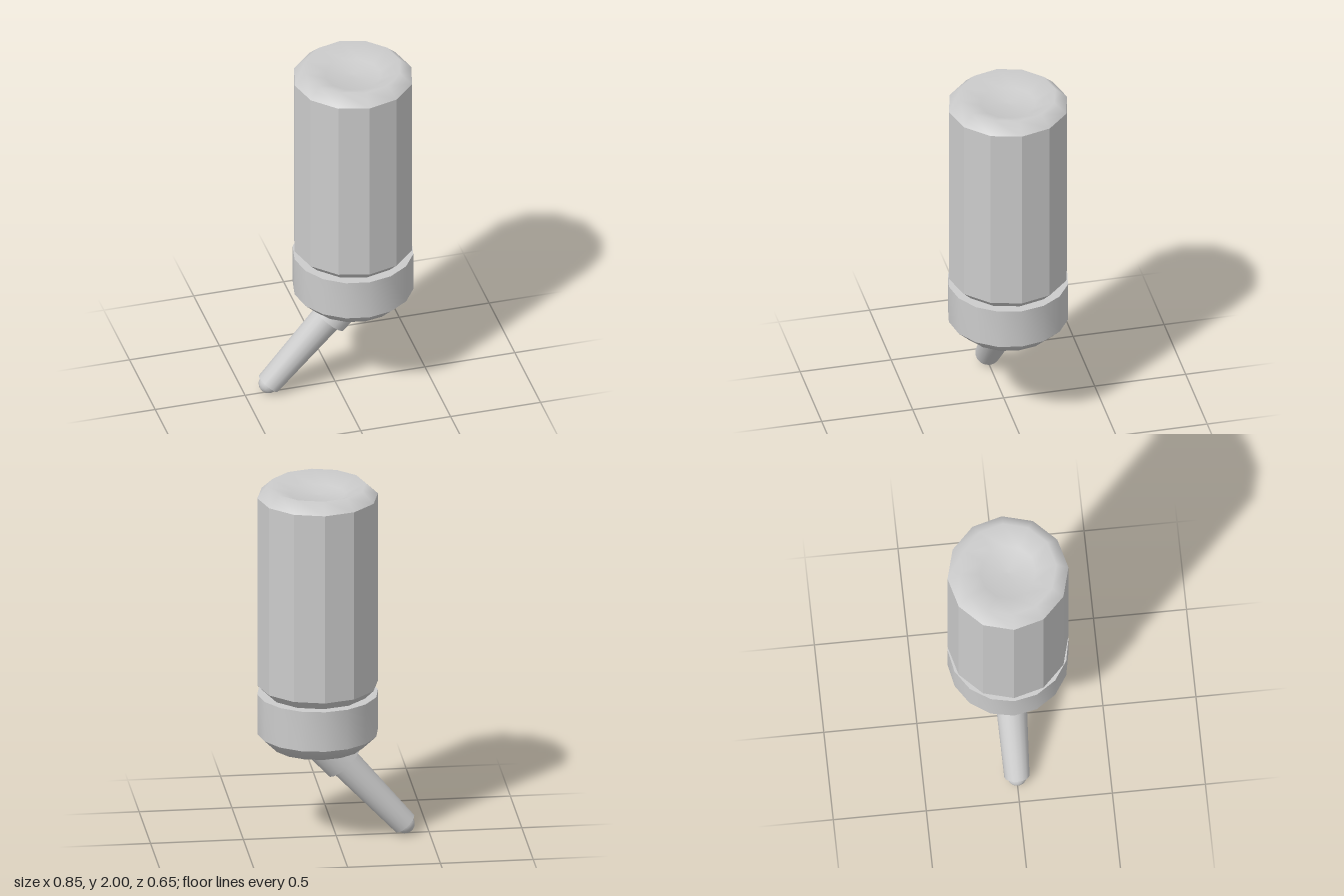
import * as THREE from 'three';
import { toCreasedNormals } from 'three/addons/utils/BufferGeometryUtils.js';

const smooth = new THREE.MeshStandardMaterial({ color: 0xcccccc });
const faceted = new THREE.MeshStandardMaterial({ color: 0xcccccc, flatShading: true });

const BODY_SIDES = 12;
const CAP_SIDES = 16;
const R = 0.325;

// Turned part from [radius, y] pairs, listed from bottom centre to top centre
function turned(name, points, sides, material = smooth, crease = 0) {
  let geometry = new THREE.LatheGeometry(points.map(([r, y]) => new THREE.Vector2(r, y)), sides);
  if (crease) geometry = toCreasedNormals(geometry, crease);
  const mesh = new THREE.Mesh(geometry, material);
  mesh.name = name;
  return mesh;
}

export function createModel() {
  const model = new THREE.Group();
  model.name = 'drinkingBottle';

  // Bottle: faceted wall, soft dished top, tapered shoulder into the neck
  const bottle = new THREE.Group();
  bottle.name = 'bottle';
  bottle.add(
    turned('bottleWall', [[R, 0.875], [R, 1.94]], BODY_SIDES, faceted),
    turned('bottleBase', [[R, 1.94], [0.26, 2], [0.15, 1.95], [0, 1.945]], BODY_SIDES),
    turned('bottleShoulder', [[0.25, 0.8], [R, 0.875]], BODY_SIDES)
  );

  // Screw cap: smooth band, flat top, soft dished underside
  const cap = new THREE.Group();
  cap.name = 'cap';
  cap.add(
    turned('capUnderside', [[0, 0.575], [0.15, 0.57], [0.25, 0.527], [R, 0.6]], CAP_SIDES),
    turned('capBand', [[R, 0.6], [R, 0.825], [0, 0.825]], CAP_SIDES, smooth, 0.6)
  );
  bottle.position.x = cap.position.x = 0.1;

  // Spout, built along its own axis from the tip and tilted toward -x
  const spout = new THREE.Group();
  spout.name = 'spout';
  spout.position.set(-0.37, 0.055, 0);
  spout.rotation.z = -0.73;
  const ball = new THREE.Mesh(new THREE.SphereGeometry(0.053, 16, 12), smooth);
  ball.name = 'ballTip';
  spout.add(
    turned('tube', [[0, 0], [0.068, 0], [0.086, 0.52]], 16, smooth, 0.6),
    turned('collar', [[0, 0.495], [0.114, 0.495], [0.118, 0.74], [0, 0.74]], 16, smooth, 0.6),
    ball
  );

  model.add(bottle, cap, spout);
  return model;
}
